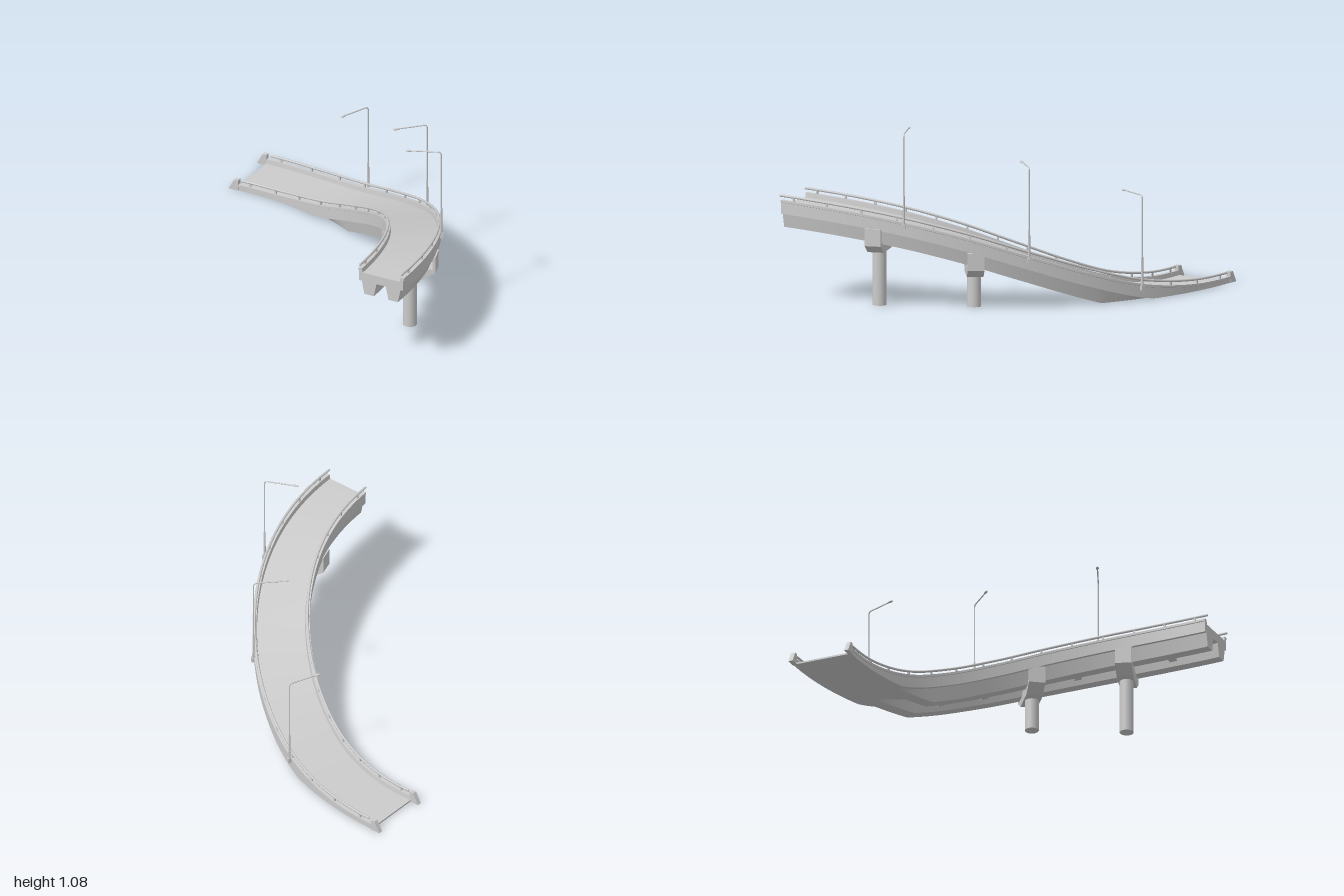
import * as THREE from 'three';
import { toCreasedNormals } from 'three/addons/utils/BufferGeometryUtils.js';

const CX = -0.942, CZ = 0.97, END = 90;
const mat = new THREE.MeshStandardMaterial({ color: 0xcccccc });

// Road height at nine even steps along the quarter turn
const rise = new THREE.SplineCurve(
  [0.01, 0.02, 0.07, 0.175, 0.3, 0.42, 0.51, 0.565, 0.59].map((y, i) => new THREE.Vector2(i, y)));
const road = (t) => rise.getPoint(THREE.MathUtils.clamp(t / END, 0, 1)).y;
const outer = (t) => 1.95 - 0.01 * t / END;
const inner = (t) => 1.56 + 0.075 * t / END;

// Point at angle t (degrees), radius r and height y
function at(t, r, y) {
  const a = THREE.MathUtils.degToRad(t);
  return new THREE.Vector3(CX + r * Math.sin(a), y, CZ - r * Math.cos(a));
}

function add(parent, name, geometry) {
  const mesh = new THREE.Mesh(geometry, mat);
  mesh.name = name;
  parent.add(mesh);
  return mesh;
}

// Sweep a counter-clockwise [radius, height above road] section along the bend, cut off at the ground
function sweep(section, t0, t1, steps) {
  const pos = [];
  const rings = [];
  for (let s = 0; s <= steps; s++) {
    const t = t0 + (t1 - t0) * s / steps;
    rings.push(section(t).map(([r, h]) => at(t, r, Math.max(0, road(t) + h))));
  }
  const tri = (...pts) => pts.forEach((p) => pos.push(p.x, p.y, p.z));
  const n = rings[0].length;
  for (let s = 0; s < steps; s++) {
    for (let i = 0; i < n; i++) {
      const j = (i + 1) % n, A = rings[s], B = rings[s + 1];
      tri(A[i], A[j], B[j]);
      tri(A[i], B[j], B[i]);
    }
  }
  const flat = section(t1).map(([r, h]) => new THREE.Vector2(r, h));
  for (const [a, b, c] of THREE.ShapeUtils.triangulateShape(flat, [])) {
    const S = rings[0], E = rings[steps];
    tri(E[a], E[b], E[c]);
    tri(S[c], S[b], S[a]);
  }
  const g = new THREE.BufferGeometry();
  g.setAttribute('position', new THREE.Float32BufferAttribute(pos, 3));
  return toCreasedNormals(g, 0.35);
}

function extrude(points, depth) {
  const shape = new THREE.Shape(points.map(([x, y]) => new THREE.Vector2(x, y)));
  return new THREE.ExtrudeGeometry(shape, { depth, bevelEnabled: false }).translate(0, 0, -depth / 2);
}

// Group on the bend whose local +x points to the inside of the curve
function station(parent, name, t, r, y) {
  const g = new THREE.Group();
  const a = THREE.MathUtils.degToRad(t);
  g.name = name;
  g.position.copy(at(t, r, y));
  g.rotation.y = Math.atan2(-Math.cos(a), -Math.sin(a));
  parent.add(g);
  return g;
}

function addPier(parent, t) {
  const mid = (outer(t) + inner(t)) / 2, y = road(t);
  const pier = station(parent, 'pier', t, mid, 0);
  const seat = y - 0.135, low = y - 0.205, top = y - 0.05;
  add(pier, 'pierColumn', new THREE.CylinderGeometry(0.042, 0.042, low, 24).translate(0, low / 2, 0));
  // Hammerhead with raised ends that hold the girders
  add(pier, 'pierCap', extrude([
    [-0.09, low], [0.09, low], [0.165, low + 0.05], [0.165, top], [0.145, top], [0.145, seat],
    [-0.145, seat], [-0.145, top], [-0.165, top], [-0.165, low + 0.05]], 0.1));
}

function addLamp(parent, t) {
  const lamp = station(parent, 'streetLamp', t, outer(t) + 0.004, road(t));
  add(lamp, 'lampBracket', new THREE.BoxGeometry(0.026, 0.03, 0.022).translate(0, 0.005, 0));
  add(lamp, 'lampBase', new THREE.CylinderGeometry(0.006, 0.008, 0.19, 10).translate(0, 0.095, 0));
  // Pole bending into a horizontal arm
  const v = (x, y) => new THREE.Vector3(x, y, 0);
  const path = new THREE.CurvePath();
  path.add(new THREE.LineCurve3(v(0, 0.15), v(0, 0.545)));
  path.add(new THREE.QuadraticBezierCurve3(v(0, 0.545), v(0, 0.566), v(0.022, 0.566)));
  path.add(new THREE.LineCurve3(v(0.022, 0.566), v(0.18, 0.568)));
  add(lamp, 'lampPole', new THREE.TubeGeometry(path, 100, 0.004, 8));
  add(lamp, 'lampHead', new THREE.SphereGeometry(1, 14, 8).scale(0.021, 0.006, 0.009).translate(0.192, 0.568, 0));
}

export function createModel() {
  const model = new THREE.Group();
  model.name = 'curvedRamp';

  // Deck slab with a parapet and coping on both edges
  add(model, 'deck', sweep((t) => {
    const o = outer(t), i = inner(t);
    return [[i + 0.004, -0.055], [o - 0.004, -0.055], [o - 0.004, 0.012], [o, 0.014], [o, 0.028],
      [o - 0.024, 0.028], [o - 0.028, 0], [i + 0.028, 0], [i + 0.024, 0.028], [i, 0.028],
      [i, 0.014], [i + 0.004, 0.012]];
  }, 0, END, 80));

  // Twin tapered girders, running down into the ground
  for (const [top0, bot0, bot1, top1] of [[0.07, 0.13, 0.34, 0.4], [0.6, 0.66, 0.87, 0.93]]) {
    add(model, 'girder', sweep((t) => {
      const i = inner(t), w = outer(t) - i;
      return [[i + w * bot0, -0.14], [i + w * bot1, -0.14], [i + w * top1, -0.05], [i + w * top0, -0.05]];
    }, 18, END, 64));
  }

  // Cross beams between the girders
  for (const t of [36, 45, 54, 63, 72.3, 81]) {
    add(model, 'crossBeam', sweep((a) => {
      const i = inner(a), w = outer(a) - i;
      return [[i + w * 0.35, -0.11], [i + w * 0.65, -0.11], [i + w * 0.65, -0.05], [i + w * 0.35, -0.05]];
    }, t - 0.7, t + 0.7, 2));
  }

  addPier(model, 54);
  addPier(model, 72.3);

  // Handrails, posts and sloped end blocks on both sides
  for (const edge of [(t) => outer(t) - 0.013, (t) => inner(t) + 0.013]) {
    const pts = [];
    for (let k = 0; k <= 40; k++) {
      const t = 1 + (END - 0.8) * k / 40;
      pts.push(at(t, edge(t), road(t) + 0.053));
    }
    const curve = new THREE.CatmullRomCurve3(pts);
    add(model, 'handrail', new THREE.TubeGeometry(curve, 100, 0.0075, 8));
    for (const k of [0, 1]) {
      const cap = add(model, 'handrailEnd', new THREE.SphereGeometry(0.0075, 8, 6));
      cap.position.copy(curve.getPoint(k));
    }
    for (let k = 0; k < 14; k++) {
      const t = 3 + k * 6.5;
      const post = station(model, 'railPost', t, edge(t), road(t) + 0.04);
      add(post, 'post', new THREE.BoxGeometry(0.01, 0.034, 0.012));
    }
    add(model, 'endBlock', extrude([[-1, 0], [-0.935, 0], [-0.935, 0.068], [-0.962, 0.068]], 0.028))
      .position.z = CZ - edge(0);
  }

  for (const t of [22.8, 44.6, 66.7]) addLamp(model, t);
  return model;
}
